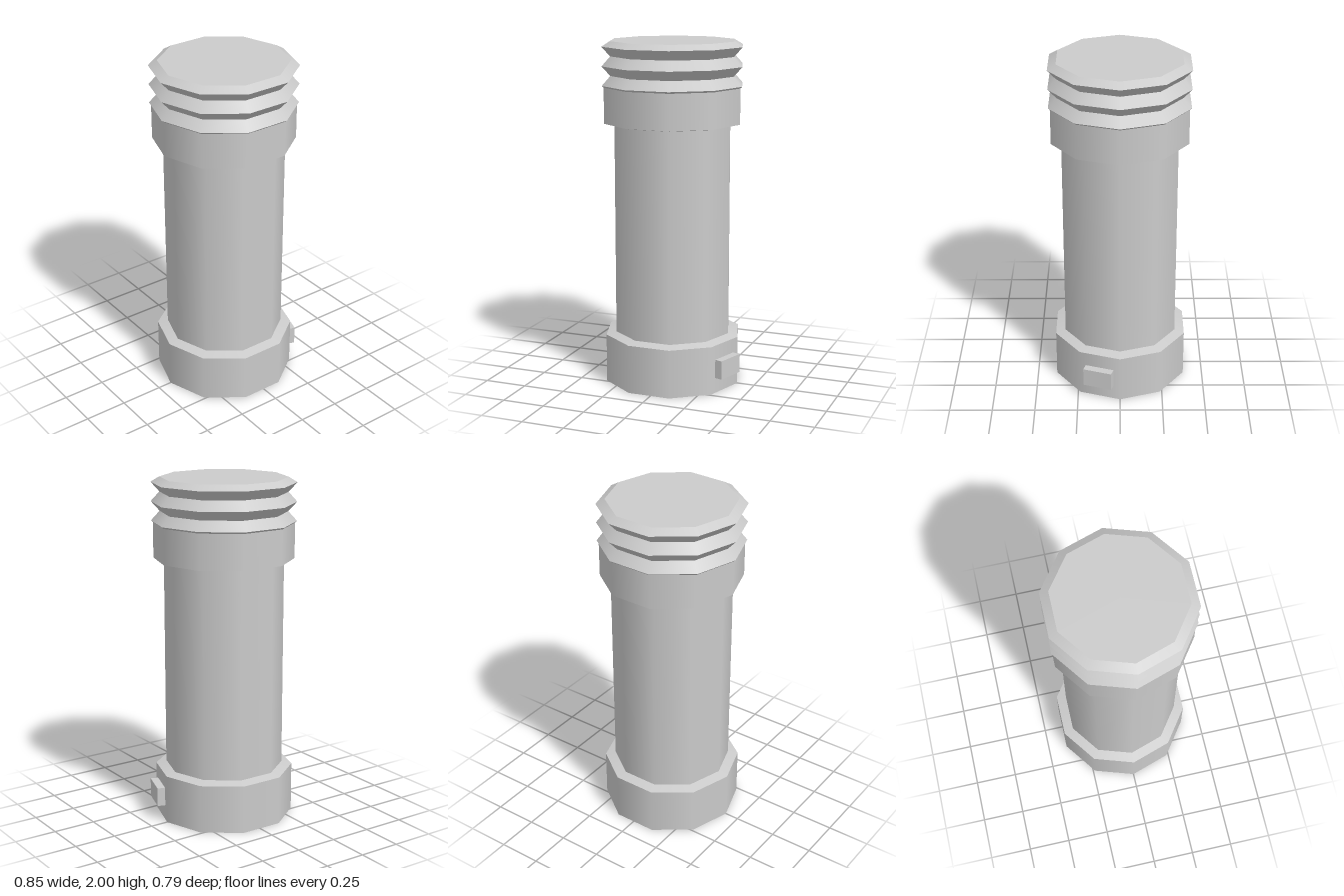
import * as THREE from 'three';
import { mergeGeometries } from 'three/addons/utils/BufferGeometryUtils.js';

const SIDES = 10;
const material = new THREE.MeshStandardMaterial({ color: 0xcccccc });

// Ten-sided shell through [radius, y] rings from bottom to top:
// smooth around each band, sharp between bands.
function shell(name, rings) {
  const bands = [];
  for (let i = 0; i < rings.length - 1; i++) {
    const [r0, y0] = rings[i];
    const [r1, y1] = rings[i + 1];
    const band = new THREE.CylinderGeometry(r1, r0, y1 - y0, SIDES, 1, true, Math.PI / 2);
    bands.push(band.translate(0, (y0 + y1) / 2, 0));
  }
  const mesh = new THREE.Mesh(mergeGeometries(bands), material);
  mesh.name = name;
  return mesh;
}

// Flat ten-sided end face
function cap(name, radius, y, up) {
  const geometry = new THREE.CircleGeometry(radius, SIDES);
  geometry.rotateX(up ? -Math.PI / 2 : Math.PI / 2);
  const mesh = new THREE.Mesh(geometry, material);
  mesh.position.y = y;
  mesh.name = name;
  return mesh;
}

export function createModel() {
  const model = new THREE.Group();
  model.name = 'canister';

  const body = new THREE.Group();
  body.name = 'body';
  body.position.x = -0.011;
  model.add(body);

  // Base ring, barrel and upper collar
  body.add(cap('bottomFace', 0.405, 0, false));
  body.add(shell('baseRing', [[0.405, 0], [0.405, 0.285], [0.345, 0.3]]));
  body.add(shell('barrel', [[0.345, 0.3], [0.345, 1.525]]));
  body.add(shell('collar', [[0.345, 1.525], [0.405, 1.535], [0.405, 1.74]]));

  // Zigzag ribs of the lid
  const ribs = [[0.405, 1.74]];
  for (let i = 0; i < 3; i++) {
    const y = 1.75 + i * 0.11;
    ribs.push([0.416, y], [0.366, i < 2 ? y + 0.055 : 2]);
  }
  body.add(shell('lidRibs', ribs));
  body.add(cap('lidTop', 0.366, 2, true));

  // Small catch on one facet of the base ring
  const catchPivot = new THREE.Group();
  catchPivot.name = 'catchMount';
  catchPivot.rotation.y = -Math.PI / SIDES;
  const catchBlock = new THREE.Mesh(new THREE.BoxGeometry(0.06, 0.11, 0.172), material);
  catchBlock.name = 'catch';
  catchBlock.position.set(0.401, 0.145, 0.002);
  catchPivot.add(catchBlock);
  body.add(catchPivot);

  return model;
}
